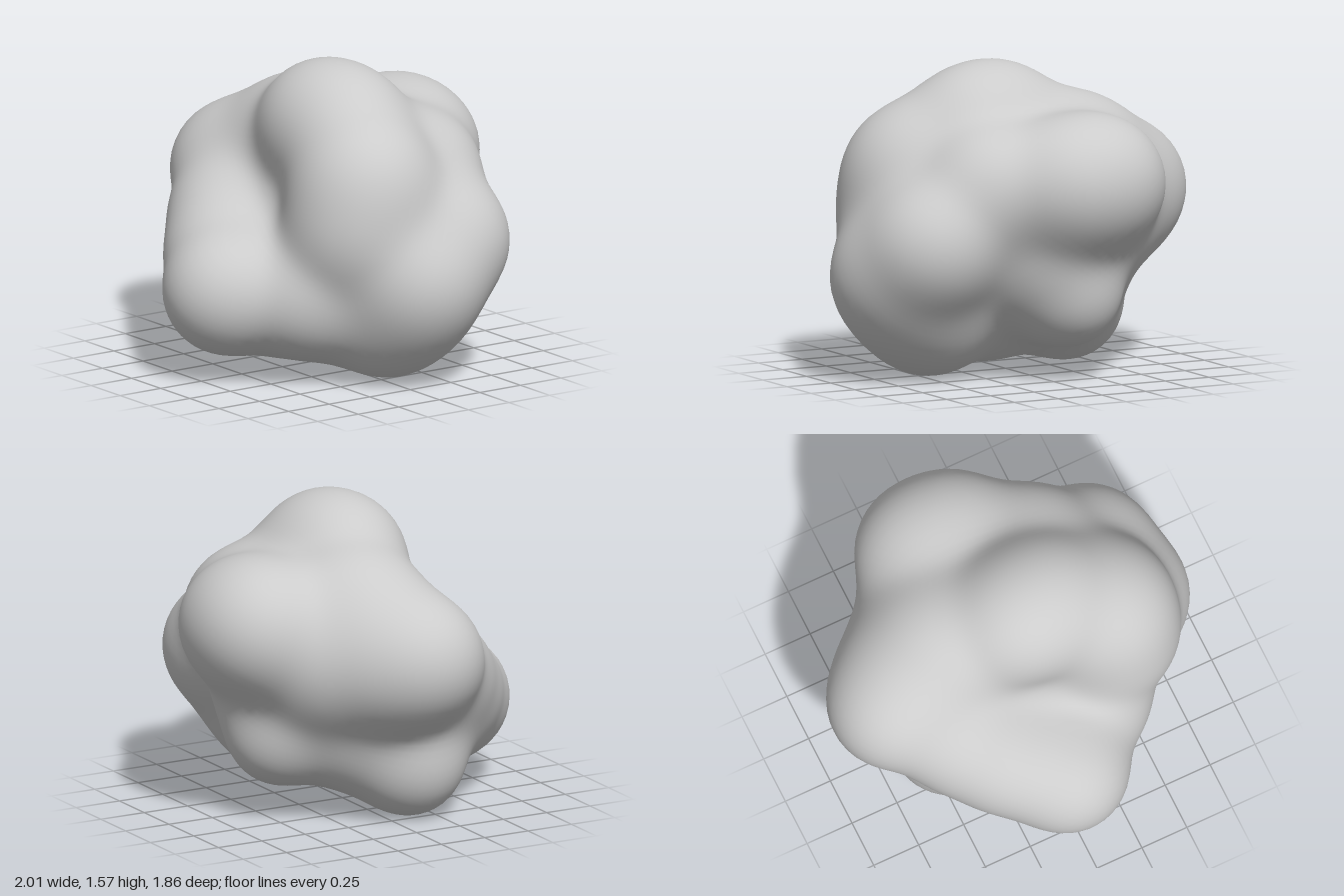
import * as THREE from 'three';
import { mergeVertices } from 'three/addons/utils/BufferGeometryUtils.js';

// Lobes of the boulder: centre x, y, z and radius
const LOBES = [
  [0.02, 0.68, -0.1, 0.42],    // core
  [0.02, 1.24, 0.02, 0.29],    // crown, right half
  [0.2, 1.23, 0.0, 0.29],      // crown, left half
  [0.48, 1.02, 0.09, 0.34],    // upper left shoulder
  [0.5, 0.78, 0.17, 0.29],     // front left ridge
  [0.7, 0.53, -0.08, 0.28],    // left tip
  [0.6, 0.7, -0.33, 0.31],     // left back bulge
  [0.3, 0.98, -0.38, 0.29],    // upper back left fill
  [0.58, 0.42, -0.1, 0.28],    // lower left fill
  [0.46, 0.31, -0.05, 0.28],   // left foot
  [0.31, 0.42, 0.32, 0.27],    // low front left fill
  [0.02, 0.44, 0.62, 0.3],     // front knob
  [-0.24, 0.56, 0.45, 0.26],   // ridge behind the front knob
  [-0.42, 0.7, 0.28, 0.28],    // front right fill
  [-0.7, 0.88, 0.06, 0.29],    // right knob
  [-0.55, 0.85, -0.06, 0.32],  // right flank
  [-0.33, 1.04, -0.1, 0.34],   // right shoulder
  [-0.43, 0.27, 0.14, 0.26],   // right foot
  [-0.12, 0.37, 0.28, 0.27],   // front underside
  [0.08, 0.36, 0.08, 0.29],    // middle underside
  [-0.28, 0.43, -0.1, 0.26],   // back right underside
  [-0.35, 0.8, -0.28, 0.29],   // back right fill
  [-0.22, 1.01, -0.59, 0.31],  // back knob, right half
  [-0.03, 1.0, -0.59, 0.3],    // back knob, left half
  [0.02, 0.62, -0.4, 0.24],    // fill under the back knob
  [-0.12, 0.41, -0.44, 0.23],  // low back knob
];
const BLEND = 0.08;
const CENTRE = new THREE.Vector3(0, 0.7, 0);

// Smoothly blended distance to all lobes
function distance(p) {
  let sum = 0;
  for (const [x, y, z, r] of LOBES) {
    const d = Math.hypot(p.x - x, p.y - y, p.z - z) - r;
    sum += Math.exp(-d / BLEND);
  }
  return -BLEND * Math.log(sum);
}

// Shrink a ray from outside until it meets the blended surface
function surfacePoint(dir) {
  const p = new THREE.Vector3();
  let t = 1.6;
  for (let i = 0; i < 80; i++) {
    p.copy(dir).multiplyScalar(t).add(CENTRE);
    const d = distance(p);
    if (d < 0.0005) break;
    t -= d;
  }
  return p;
}

export function createModel() {
  const group = new THREE.Group();
  group.name = 'boulder';

  let geo = new THREE.IcosahedronGeometry(1, 20);
  geo.deleteAttribute('normal');
  geo.deleteAttribute('uv');
  geo = mergeVertices(geo, 1e-4);

  const pos = geo.attributes.position;
  const dir = new THREE.Vector3();
  for (let i = 0; i < pos.count; i++) {
    dir.fromBufferAttribute(pos, i).normalize();
    const p = surfacePoint(dir);
    pos.setXYZ(i, p.x, p.y, p.z);
  }

  // Stand it on the ground
  geo.computeBoundingBox();
  geo.translate(0, -geo.boundingBox.min.y, 0);
  geo.computeVertexNormals();

  const rock = new THREE.Mesh(geo, new THREE.MeshStandardMaterial({ color: 0xcccccc }));
  rock.name = 'rock';
  group.add(rock);
  return group;
}
